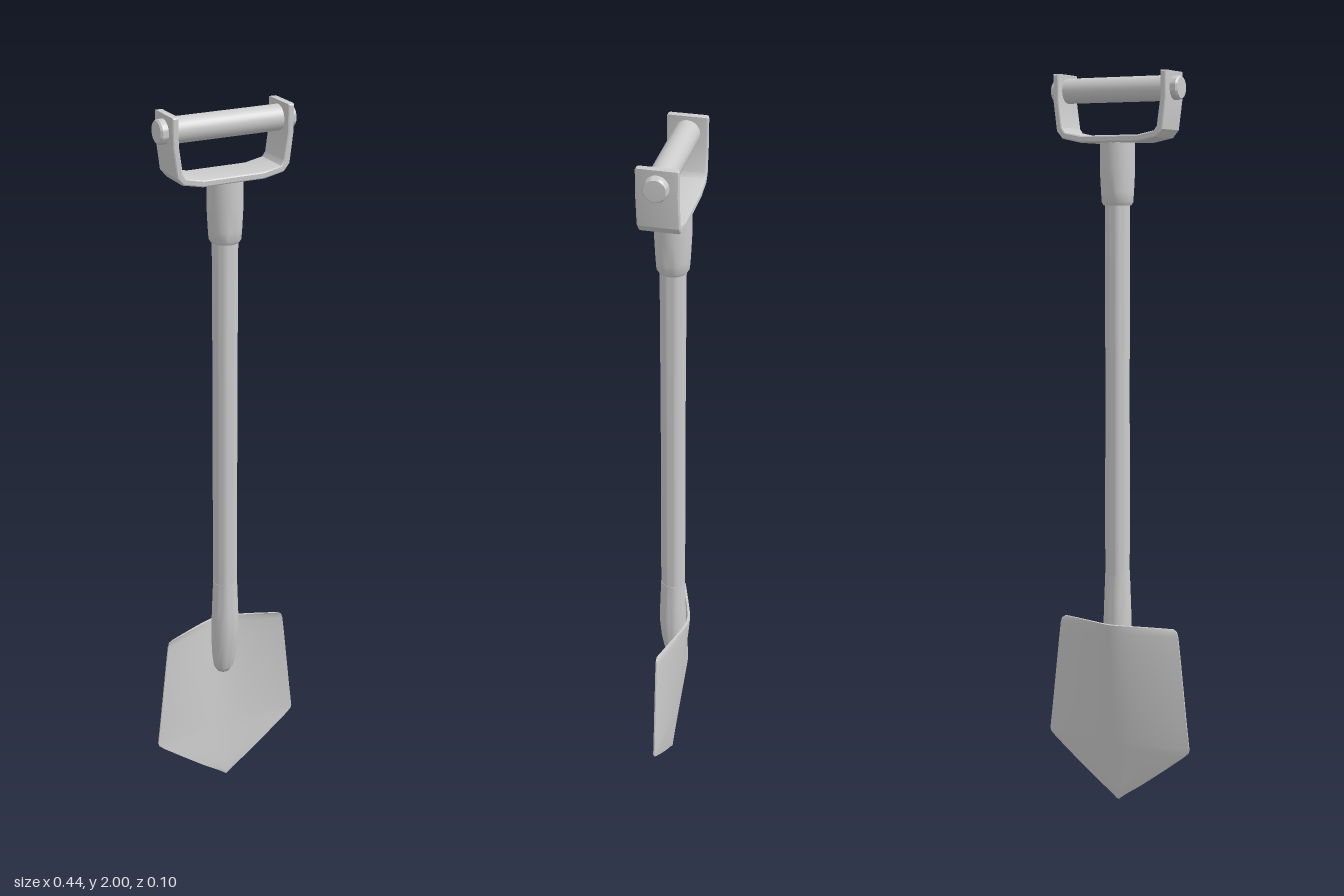
import * as THREE from 'three';
import { toCreasedNormals } from 'three/addons/utils/BufferGeometryUtils.js';

const grey = new THREE.MeshStandardMaterial({ color: 0xcccccc });

function add(parent, name, geometry) {
  const mesh = new THREE.Mesh(geometry, grey);
  mesh.name = name;
  parent.add(mesh);
  return mesh;
}

// Skins closed cross-sections stacked upwards (counter-clockwise from above), with end caps.
function loft(rings, crease) {
  const n = rings[0].length, pos = [], idx = [];
  rings.forEach(r => r.forEach(p => pos.push(...p)));
  for (let k = 0; k < rings.length - 1; k++) {
    for (let i = 0; i < n; i++) {
      const a = k * n + i, b = k * n + (i + 1) % n;
      idx.push(a, b, b + n, a, b + n, a + n);
    }
  }
  const top = (rings.length - 1) * n;
  // strip caps, joining each side of the loop to its opposite
  for (let i = 0; i < n / 2 - 1; i++) {
    const j = n - 1 - i;
    idx.push(i, j, j - 1, i, j - 1, i + 1);
    idx.push(top + i, top + j - 1, top + j, top + i, top + i + 1, top + j - 1);
  }
  const g = new THREE.BufferGeometry();
  g.setAttribute('position', new THREE.Float32BufferAttribute(pos, 3));
  g.setIndex(idx);
  return toCreasedNormals(g, crease);
}

// Blade: dished towards the front, deepest at the top, flat at the point.
function bladeGeometry() {
  const outline = [ // height, half width
    [0, 0.004], [0.015, 0.022], [0.05, 0.072], [0.1, 0.137], [0.15, 0.2], [0.165, 0.216],
    [0.175, 0.219], [0.25, 0.21], [0.35, 0.199], [0.44, 0.189], [0.49, 0.183], [0.504, 0.179], [0.511, 0.168]
  ];
  const steps = 20;
  const rings = outline.map(([y, w]) => {
    const depth = 0.05 * y / 0.51;
    const point = (u, side) => {
      const v = (Math.sqrt(u * u + 0.03) - 0.173) / 0.842; // rounded V section
      const half = 0.0045 - 0.0025 * Math.abs(u);
      const lift = y > 0.5 ? 0.004 * (1 - u * u) : 0;
      return [u * w, y + lift, 0.006 - depth * (1 - v) + side * half];
    };
    const ring = [];
    for (let i = 0; i <= steps; i++) ring.push(point(-1 + 2 * i / steps, 1));
    for (let i = steps; i >= 0; i--) ring.push(point(-1 + 2 * i / steps, -1));
    return ring;
  });
  return loft(rings, 0.7);
}

// Socket: swells out of the shaft and dies into the blade with a rounded toe.
function socketGeometry() {
  const sections = [ // height, half width, back z, front z
    [0.352, 0.008, -0.03, -0.004], [0.358, 0.019, -0.031, 0.007], [0.375, 0.029, -0.032, 0.014],
    [0.41, 0.035, -0.035, 0.023], [0.46, 0.038, -0.038, 0.033], [0.52, 0.039, -0.038, 0.039],
    [0.58, 0.037, -0.036, 0.037], [0.66, 0.034, -0.033, 0.034]
  ];
  const n = 24;
  return loft(sections.map(([y, w, back, front]) => Array.from({ length: n }, (_, i) => {
    const a = (i + 0.5) / n * Math.PI * 2;
    return [w * Math.cos(a), y, (back + front) / 2 - (front - back) / 2 * Math.sin(a)];
  })), 1);
}

// Yoke: U-shaped strap with faceted corners and softened edges.
function yokeGeometry() {
  const b = 0.004;
  const outer = [[0.163, 1.996], [0.163, 1.93], [0.153, 1.852], [0.138, 1.834], [0.085, 1.823]];
  const inner = [[0.153, 1.996], [0.153, 1.93], [0.143, 1.858], [0.133, 1.844], [0.083, 1.834]];
  const mirror = list => list.map(([x, y]) => [-x, y]);
  const loop = [...mirror(outer), ...outer.slice().reverse(), ...inner, ...mirror(inner).reverse()];
  const shape = new THREE.Shape(loop.map(p => new THREE.Vector2(...p)));
  const g = new THREE.ExtrudeGeometry(shape, {
    depth: 0.092, bevelEnabled: true, bevelThickness: 0.006, bevelSize: b, bevelSegments: 2
  });
  g.translate(0, 0, -0.046);
  return toCreasedNormals(g, 0.5);
}

function lathe(points, crease = 0.6) {
  return toCreasedNormals(new THREE.LatheGeometry(points.map(p => new THREE.Vector2(...p)), 28), crease);
}

export function createModel() {
  const model = new THREE.Group();
  model.name = 'spade';

  // Blade and shaft
  add(model, 'blade', bladeGeometry());
  add(model, 'socket', socketGeometry());
  add(model, 'shaft', lathe([[0, 0.6], [0.033, 0.6], [0.034, 0.75], [0.033, 1.2], [0.034, 1.68], [0, 1.68]]));
  add(model, 'collar', lathe([[0, 1.655], [0.037, 1.655], [0.042, 1.663], [0.044, 1.69], [0.047, 1.75], [0.047, 1.828], [0, 1.828]]));

  // Handle
  const handle = new THREE.Group();
  handle.name = 'handle';
  model.add(handle);
  add(handle, 'yoke', yokeGeometry());
  const grip = add(handle, 'grip', new THREE.CylinderGeometry(0.033, 0.033, 0.31, 28));
  grip.position.y = 1.957;
  grip.rotation.z = Math.PI / 2;
  for (const side of [1, -1]) {
    const bolt = add(handle, side > 0 ? 'leftBolt' : 'rightBolt',
      lathe([[0, 0], [0.031, 0], [0.031, 0.026], [0.027, 0.031], [0, 0.032]]));
    bolt.position.set(side * 0.156, 1.957, 0);
    bolt.rotation.z = -side * Math.PI / 2;
  }
  return model;
}
